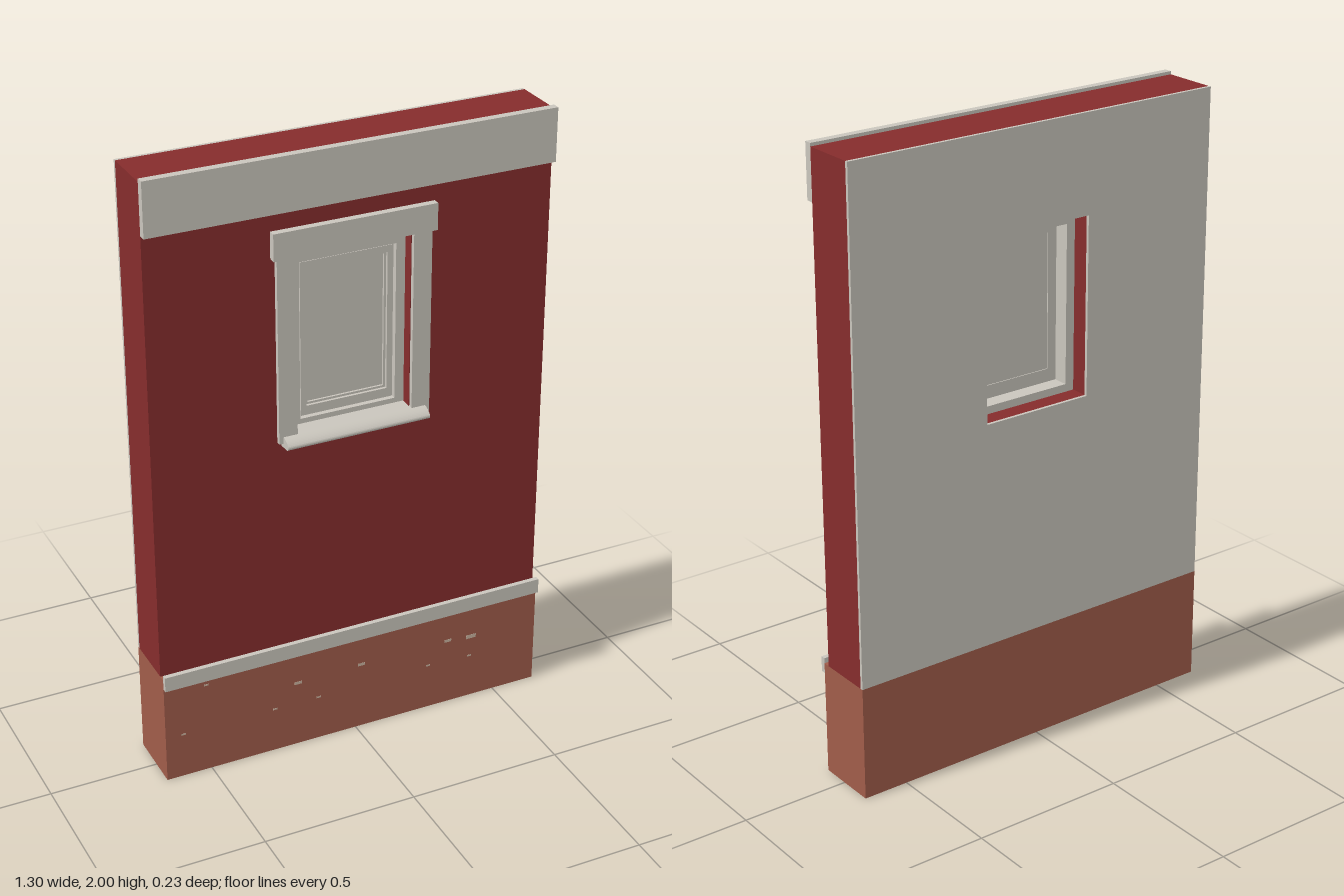
import * as THREE from 'three';

export function createModel() {
  const model = new THREE.Group();
  model.name = 'wallSection';

  const material = (name, color) => {
    const m = new THREE.MeshStandardMaterial({ color });
    m.name = name;
    return m;
  };
  const red = material('red siding', 0x852c2c);
  const cream = material('cream trim', 0xc9c5bc);
  const brick = material('brick', 0xa05c4a);
  const mortar = material('mortar', 0xc9b3a0);

  const add = (parent, name, geometry, mat) => {
    const mesh = new THREE.Mesh(geometry, mat);
    mesh.name = name;
    parent.add(mesh);
    return mesh;
  };
  // Box given by its limits on each axis
  const box = (parent, name, mat, x0, x1, y0, y1, z0, z1) => {
    const g = new THREE.BoxGeometry(x1 - x0, y1 - y0, z1 - z0);
    g.translate((x0 + x1) / 2, (y0 + y1) / 2, (z0 + z1) / 2);
    return add(parent, name, g, mat);
  };
  // Rectangular slab with a rectangular opening; limits are [x, y0, y1], mirrored in x
  const ring = (parent, name, mat, [ox, oy0, oy1], [ix, iy0, iy1], z0, z1) => {
    const rect = (C, x, y0, y1) => new C([
      new THREE.Vector2(-x, y0), new THREE.Vector2(x, y0),
      new THREE.Vector2(x, y1), new THREE.Vector2(-x, y1)]);
    const shape = rect(THREE.Shape, ox, oy0, oy1);
    shape.holes.push(rect(THREE.Path, ix, iy0, iy1));
    const g = new THREE.ExtrudeGeometry(shape, { depth: z1 - z0, bevelEnabled: false });
    g.translate(0, 0, z0);
    return add(parent, name, g, mat);
  };

  const W = 0.65;
  const opening = [0.187, 1.105, 1.677];

  // Brick base and the wall above it
  box(model, 'brickBase', brick, -W, W, 0, 0.373, -0.115, 0.091);
  ring(model, 'sidingWall', red, [W, 0.373, 1.99], opening, -0.105, 0.068);
  ring(model, 'interiorPanel', cream, [W, 0.373, 1.99], opening, -0.115, -0.105);

  // Long horizontal boards
  box(model, 'fasciaBoard', cream, -W, W, 1.83, 2, 0.068, 0.093);
  box(model, 'baseMoulding', cream, -W, W, 0.34, 0.39, 0.091, 0.107);

  // Small chips of mortar on the brick face
  const chips = new THREE.Group();
  chips.name = 'mortarChips';
  model.add(chips);
  [[-0.2, 0.23, 0.025], [0.02, 0.235, 0.025], [0.33, 0.235, 0.025], [0.415, 0.228, 0.035],
    [-0.51, 0.315, 0.015], [-0.59, 0.155, 0.015], [-0.28, 0.155, 0.015], [-0.13, 0.155, 0.015],
    [0.26, 0.16, 0.015], [0.41, 0.155, 0.015]].forEach(([x, y, s]) => {
    box(chips, 'mortarChip', mortar, x - s / 2, x + s / 2, y - s / 5, y + s / 5, 0.09, 0.0915);
  });

  // Window
  const win = new THREE.Group();
  win.name = 'window';
  model.add(win);

  // Outer casing
  box(win, 'headCasing', cream, -0.262, 0.262, 1.685, 1.77, 0.068, 0.091);
  for (const s of [-1, 1]) {
    const x = s * 0.219;
    box(win, 'sideCasing', cream, x - 0.03, x + 0.03, 1.09, 1.685, 0.068, 0.083);
  }

  // Sill with a rounded nose, profile drawn in z and y
  const profile = new THREE.Shape();
  profile.moveTo(0.03, 1.08);
  profile.lineTo(0.068, 1.075);
  profile.lineTo(0.107, 1.078);
  profile.quadraticCurveTo(0.122, 1.084, 0.116, 1.094);
  profile.quadraticCurveTo(0.104, 1.108, 0.08, 1.112);
  profile.lineTo(0.03, 1.114);
  // Wide nose in front of the wall, narrow part inside the opening
  const sill = new THREE.ExtrudeGeometry(profile, { depth: 0.47, bevelEnabled: false, curveSegments: 8 });
  sill.rotateY(-Math.PI / 2);
  sill.scale(1, 1, 1);
  sill.translate(0.235, 0, 0);
  add(win, 'sill', sill, cream);

  // Recessed jamb frame
  ring(win, 'jambFrame', cream, opening, [0.157, 1.13, 1.64], -0.05, 0.032);

  // Sash: outer stop, stiles and rails, inner bead, pane
  ring(win, 'sashStop', cream, [0.157, 1.13, 1.64], [0.151, 1.135, 1.635], 0, 0.014);
  ring(win, 'sash', cream, [0.151, 1.135, 1.635], [0.133, 1.165, 1.613], 0, 0.024);
  ring(win, 'glazingBead', cream, [0.133, 1.165, 1.613], [0.126, 1.172, 1.606], 0, 0.015);
  box(win, 'pane', cream, -0.126, 0.126, 1.172, 1.606, 0.003, 0.008);

  return model;
}
